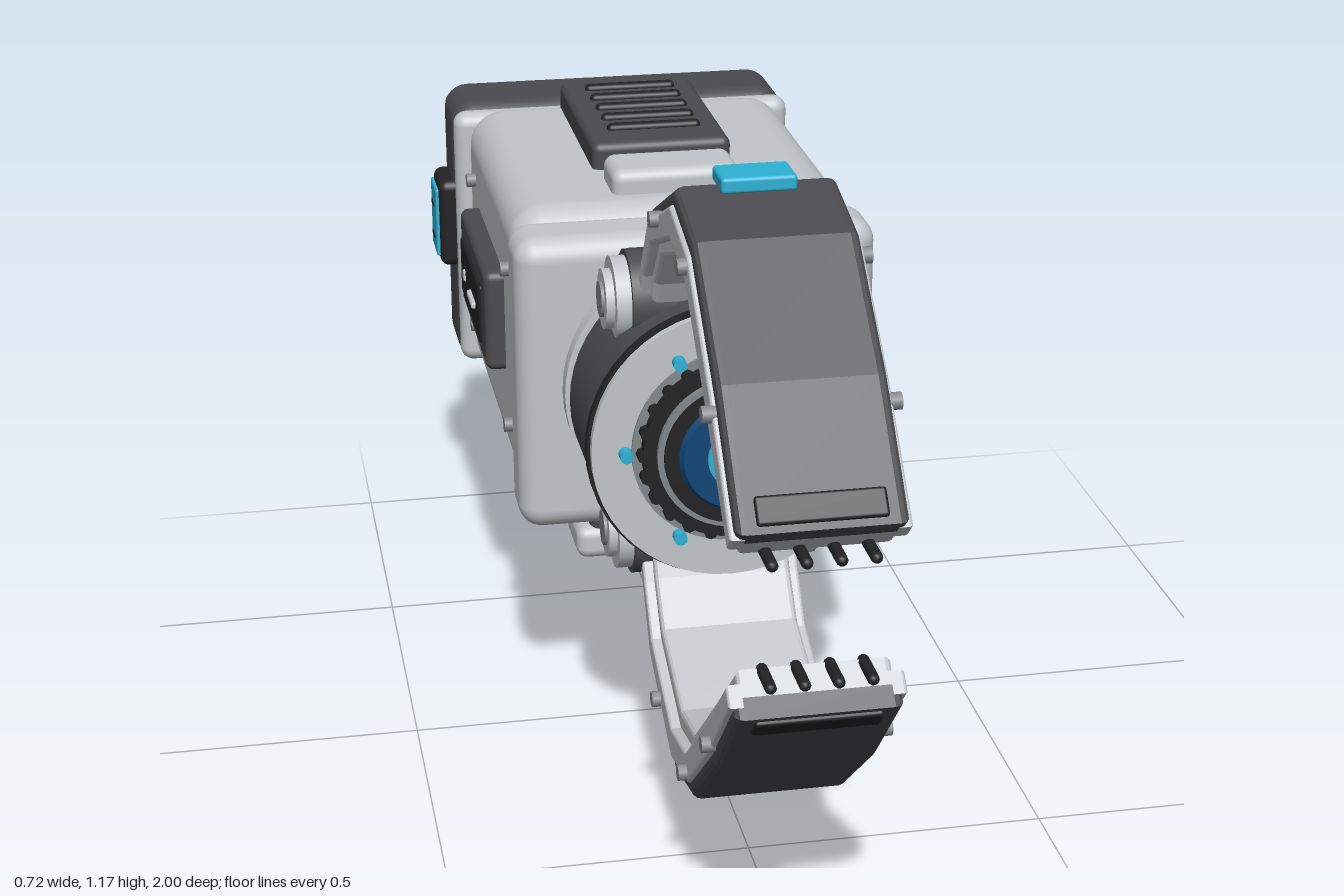
import * as THREE from 'three';
import { RoundedBoxGeometry } from 'three/addons/geometries/RoundedBoxGeometry.js';

const mat = (name, color) => {
  const m = new THREE.MeshStandardMaterial({ color });
  m.name = name;
  return m;
};

export function createModel() {
  const light = mat('light grey', 0xc2c6ca);
  const dark = mat('charcoal', 0x4b4a4e);
  const black = mat('black', 0x232325);
  const mid = mat('mid grey', 0x85888c);
  const cyan = mat('cyan', 0x2eb2d6);
  const navy = mat('navy', 0x0f4678);
  const root = new THREE.Group();
  const CY = 0.66; // height of the main axis

  const add = (parent, name, geo, material) => {
    const m = new THREE.Mesh(geo, material);
    m.name = name;
    parent.add(m);
    return m;
  };
  // Rounded box given by its min and max on each axis
  const box = (name, x0, x1, y0, y1, z0, z1, r, material, parent = root) => {
    const m = add(parent, name, new RoundedBoxGeometry(x1 - x0, y1 - y0, z1 - z0, 4, r), material);
    m.position.set((x0 + x1) / 2, (y0 + y1) / 2, (z0 + z1) / 2);
    return m;
  };
  // Cylinders along z and x
  const discZ = (name, r, z0, z1, material, x = 0, y = CY, seg = 48, r1 = r) => {
    const g = new THREE.CylinderGeometry(r1, r, z1 - z0, seg).rotateX(Math.PI / 2);
    const m = add(root, name, g, material);
    m.position.set(x, y, (z0 + z1) / 2);
    return m;
  };
  const rodX = (name, r, x0, x1, y, z, material, parent = root, seg = 28) => {
    const m = add(parent, name, new THREE.CylinderGeometry(r, r, x1 - x0, seg).rotateZ(Math.PI / 2), material);
    m.position.set((x0 + x1) / 2, y, z);
    return m;
  };

  // Main housing
  box('frontCollar', -0.31, 0.31, 0.397, 0.925, -0.075, 0.06, 0.04, light);
  box('body', -0.3, 0.3, 0.42, 0.935, -0.74, -0.06, 0.065, light);
  box('undersidePlate', -0.25, 0.25, 0.412, 0.425, -0.74, -0.07, 0.004, dark);
  box('rearFlange', -0.325, 0.325, 0.415, 0.92, -0.77, -0.715, 0.025, light);
  box('rearCasing', -0.325, 0.325, 0.395, 0.928, -0.945, -0.75, 0.045, dark);
  box('backPlate', -0.275, 0.275, 0.45, 0.89, -0.965, -0.92, 0.015, light);
  box('backScreenFrame', -0.105, 0.105, 0.555, 0.8, -0.995, -0.95, 0.02, black);
  box('backScreen', -0.075, 0.075, 0.59, 0.765, -1, -0.992, 0.003, cyan);

  // Top vent and block
  box('topVentPanel', -0.125, 0.125, 0.9, 0.982, -0.7, -0.285, 0.015, dark);
  for (let i = 0; i < 5; i++) {
    const z = -0.635 + i * 0.065;
    box('ventSlot', -0.085, 0.085, 0.97, 0.992, z - 0.012, z + 0.012, 0.009, black);
  }
  box('topBlock', -0.113, 0.113, 0.9, 0.977, -0.255, -0.135, 0.02, light);

  // Side panels, side lights and bolts
  for (const s of [1, -1]) {
    const side = (name, a, b, ...rest) => box(name, Math.min(s * a, s * b), Math.max(s * a, s * b), ...rest);
    side('sidePanel', 0.28, 0.335, 0.6, 0.785, -0.575, -0.195, 0.015, dark);
    side('sideDisplay', 0.32, 0.341, 0.635, 0.745, -0.53, -0.245, 0.008, black);
    side('displayBar', 0.33, 0.349, 0.685, 0.697, -0.365, -0.29, 0.004, light);
    side('displayDot', 0.33, 0.345, 0.681, 0.701, -0.467, -0.447, 0.004, light);
    side('sideLightFrame', 0.3, 0.354, 0.595, 0.77, -0.893, -0.775, 0.018, black);
    side('sideLight', 0.352, 0.36, 0.615, 0.75, -0.878, -0.79, 0.003, cyan);
    for (const y of [0.64, 0.705]) side('sideLightBar', 0.355, 0.362, y, y + 0.008, -0.862, -0.825, 0.002, black);
    for (const z of [-0.105, -0.61]) for (const y of [0.535, 0.825])
      rodX('bodyBolt', 0.013, s * 0.305 - 0.012, s * 0.305 + 0.012, y, z, mid, root, 12);
  }

  // Handle
  box('handleMount', -0.14, 0.14, 0.31, 0.415, -0.83, -0.635, 0.035, dark);
  box('handleGrip', -0.085, 0.085, 0.05, 0.34, -0.81, -0.645, 0.02, dark);
  box('handleFoot', -0.113, 0.113, 0, 0.068, -0.825, -0.637, 0.022, light);
  for (const y of [0.16, 0.225, 0.29]) box('gripRidge', -0.06, 0.06, y - 0.012, y + 0.012, -0.66, -0.63, 0.01, black);

  // Turret and lens
  discZ('turretBase', 0.235, 0.04, 0.09, light);
  discZ('turretSeam', 0.222, 0.08, 0.12, mid);
  discZ('turretDrum', 0.23, 0.11, 0.325, dark);
  discZ('turretEdge', 0.236, 0.315, 0.33, black);
  discZ('turretFace', 0.23, 0.325, 0.345, light);
  discZ('lensSeat', 0.165, 0.34, 0.35, mid);
  discZ('lensRing', 0.15, 0.34, 0.37, black);
  discZ('lensBezel', 0.128, 0.36, 0.38, mid);
  discZ('lensInnerRing', 0.118, 0.37, 0.386, black);
  discZ('lensGlass', 0.098, 0.38, 0.396, navy, 0, CY, 48, 0.088);
  discZ('lensCore', 0.05, 0.39, 0.402, cyan);
  for (let i = 0; i < 24; i++) {
    const a = i * Math.PI / 12;
    discZ('lensTooth', 0.011, 0.345, 0.368, black, 0.148 * Math.cos(a), CY + 0.148 * Math.sin(a), 8);
  }
  for (let i = 0; i < 6; i++) {
    const a = i * Math.PI / 3;
    discZ('turretStud', 0.011, 0.34, 0.365, cyan, 0.175 * Math.cos(a), CY + 0.175 * Math.sin(a), 14);
  }

  // Finger outline as (z, height above axis), outer and inner edge
  const outer = [[0.19, 0.22], [0.24, 0.3], [0.305, 0.4], [0.51, 0.498], [0.66, 0.462], [0.84, 0.31], [0.99, 0.145]];
  const inner = [[0.235, 0.18], [0.28, 0.26], [0.34, 0.325], [0.51, 0.385], [0.62, 0.365], [0.775, 0.232], [0.935, 0.092]];
  const at = (i, t) => new THREE.Vector2(
    outer[i][0] + (inner[i][0] - outer[i][0]) * t, outer[i][1] + (inner[i][1] - outer[i][1]) * t);
  // Extruded band between two depths of the outline
  const band = (t0, t1, halfWidth, bevel, from = 0) => {
    const idx = outer.map((_, i) => i).slice(from);
    const pts = [...idx.map(i => at(i, t0)), ...idx.slice().reverse().map(i => at(i, t1))];
    const g = new THREE.ExtrudeGeometry(new THREE.Shape(pts), {
      depth: 2 * (halfWidth - bevel), bevelEnabled: true, bevelThickness: bevel,
      bevelSize: bevel, bevelOffset: -bevel, bevelSegments: 3 });
    return g.translate(0, 0, bevel - halfWidth).rotateY(-Math.PI / 2);
  };

  const finger = name => {
    const f = new THREE.Group();
    f.name = name;
    f.position.y = CY;
    root.add(f);
    add(f, 'fingerShell', band(0, 0.45, 0.125, 0.015), dark);
    add(f, 'fingerSideRail', band(0.25, 0.72, 0.132, 0.006), light);
    add(f, 'fingerPad', band(0.5, 1, 0.115, 0.01), light);
    box('fingerLight', -0.058, 0.058, 0.49, 0.515, 0.465, 0.54, 0.006, cyan, f);
    // Slot in the fingertip
    const slot = box('tipSlot', -0.095, 0.095, -0.022, 0.022, -0.006, 0.006, 0.005, black, f);
    slot.position.set(0.0, 0.17, 0.968);
    slot.rotation.x = -Math.atan2(0.15, 0.165);
    for (const x of [-0.075, -0.025, 0.025, 0.075]) {
      const claw = add(f, 'claw', new THREE.CapsuleGeometry(0.009, 0.06, 4, 10).rotateX(Math.PI / 2), black);
      claw.position.set(x, 0.096, 0.961);
    }
    for (const s of [1, -1]) for (const [z, y] of [[0.41, 0.415], [0.645, 0.42], [0.835, 0.265]])
      rodX('fingerBolt', 0.013, s * 0.135 - 0.011, s * 0.135 + 0.011, y, z, mid, f, 12);
    // Hinge
    rodX('hingeBarrel', 0.08, -0.145, 0.145, 0.205, 0.18, dark, f);
    for (const s of [1, -1]) {
      rodX('hingeCollar', 0.07, s * 0.155 - 0.015, s * 0.155 + 0.015, 0.205, 0.18, light, f);
      rodX('hingeCap', 0.05, s * 0.172 - 0.012, s * 0.172 + 0.012, 0.205, 0.18, light, f);
      rodX('hingePin', 0.03, s * 0.18 - 0.009, s * 0.18 + 0.009, 0.205, 0.18, mid, f);
    }
    box('hingeBracket', -0.14, 0.14, 0.14, 0.25, 0.05, 0.17, 0.02, dark, f);
    return f;
  };
  finger('upperFinger');
  finger('lowerFinger').rotation.z = Math.PI;

  return root;
}
